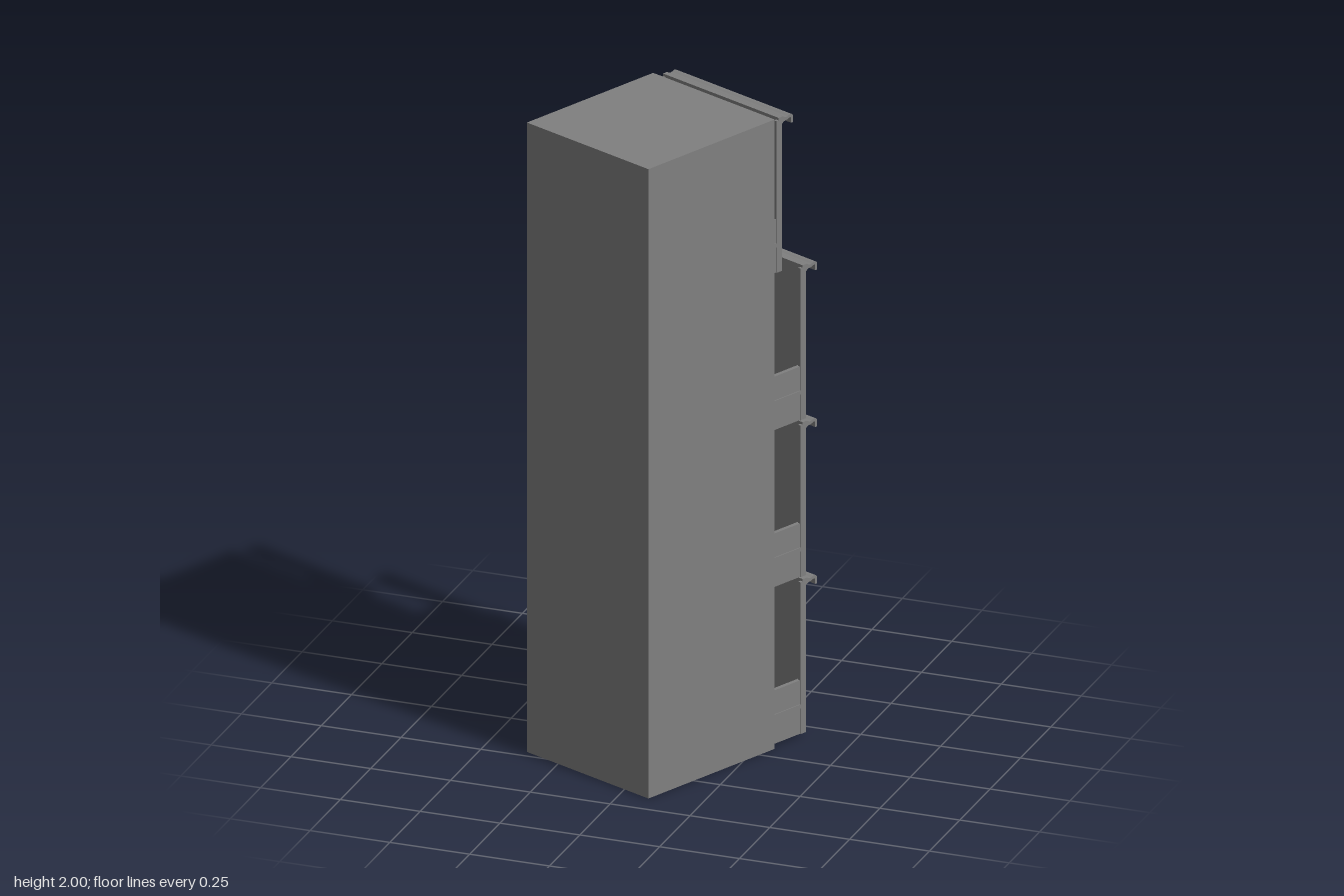
import * as THREE from 'three';

const steel = new THREE.MeshStandardMaterial({ color: 0x808080 });
const darkSteel = new THREE.MeshStandardMaterial({ color: 0x303030 });
const black = new THREE.MeshStandardMaterial({ color: 0x0c0c0c });

function box(parent, name, w, h, d, x, y, z, material = steel) {
  const mesh = new THREE.Mesh(new THREE.BoxGeometry(w, h, d), material);
  mesh.name = name;
  mesh.position.set(x, y, z);
  parent.add(mesh);
}

const W = 0.5, D = 0.526, H = 2, T = 0.008; // cabinet size and sheet thickness
const FRONT = D / 2;
const DW = 0.476, DH = 0.49, DD = 0.46;     // drawer width, height, depth

// Full-width pull: a rolled lip that dips, rises and hooks down at the front
function createPull() {
  const s = new THREE.Shape();
  s.moveTo(-0.013, -0.008);
  s.lineTo(-0.013, 0);
  s.lineTo(0, 0);
  s.bezierCurveTo(0.008, 0, 0.01, -0.006, 0.018, -0.006);
  s.bezierCurveTo(0.026, -0.006, 0.028, -0.002, 0.035, -0.002);
  s.quadraticCurveTo(0.047, -0.003, 0.047, -0.014);
  s.lineTo(0.047, -0.031);
  s.lineTo(0.039, -0.031);
  s.lineTo(0.039, -0.018);
  s.quadraticCurveTo(0.039, -0.012, 0.034, -0.012);
  s.bezierCurveTo(0.028, -0.012, 0.026, -0.016, 0.018, -0.016);
  s.quadraticCurveTo(0.008, -0.016, 0, -0.024);
  s.lineTo(0, -0.008);
  const geo = new THREE.ExtrudeGeometry(s, { depth: DW, bevelEnabled: false, curveSegments: 6 });
  geo.translate(0, 0, -DW / 2);
  geo.rotateY(-Math.PI / 2); // profile x becomes forward
  const mesh = new THREE.Mesh(geo, steel);
  mesh.name = 'drawerPull';
  return mesh;
}

// Rectangular label holder
function createLabelFrame() {
  const w = 0.165, h = 0.085, t = 0.008;
  const s = new THREE.Shape([[0, 0], [w, 0], [w, h], [0, h]].map(p => new THREE.Vector2(...p)));
  s.holes.push(new THREE.Path([[t, t], [t, h - t], [w - t, h - t], [w - t, t]].map(p => new THREE.Vector2(...p))));
  const mesh = new THREE.Mesh(new THREE.ExtrudeGeometry(s, { depth: 0.004, bevelEnabled: false }), black);
  mesh.name = 'labelFrame';
  return mesh;
}

// Drawer with its face at local z = 0 and its bottom at y = 0
function createDrawer() {
  const g = new THREE.Group();
  const sideH = 0.17, back = -0.013 - DD;
  box(g, 'drawerFront', DW, DH - 0.008, 0.013, 0, (DH - 0.008) / 2, -0.0065);
  for (const s of [-1, 1]) {
    box(g, 'frontFlange', 0.01, DH - 0.008, 0.009, s * (DW / 2 - 0.005), (DH - 0.008) / 2, -0.0175);
    box(g, 'drawerSide', 0.013, sideH, DD, s * (DW / 2 - 0.0095), sideH / 2, -0.013 - DD / 2);
    box(g, 'drawerRunner', 0.003, 0.012, DD, s * (DW / 2 - 0.0015), 0.088, -0.013 - DD / 2);
  }
  box(g, 'drawerBack', DW - 0.032, sideH, 0.01, 0, sideH / 2, back + 0.005);
  box(g, 'drawerFloor', DW - 0.032, 0.006, DD - 0.01, 0, 0.012, -0.013 - (DD - 0.01) / 2, darkSteel);

  const pull = createPull();
  pull.position.y = DH;
  const label = createLabelFrame();
  label.position.set(-DW / 2 + 0.043, DH - 0.155, 0);
  g.add(pull, label);
  return g;
}

export function createModel() {
  const cabinetWithDrawers = new THREE.Group();
  cabinetWithDrawers.name = 'filingCabinet';

  // Open-fronted steel case
  const cabinet = new THREE.Group();
  cabinet.name = 'cabinet';
  for (const s of [-1, 1]) box(cabinet, 'cabinetSide', T, H, D, s * (W - T) / 2, H / 2, 0);
  box(cabinet, 'cabinetBack', W - 2 * T, H, T, 0, H / 2, -(D - T) / 2);
  box(cabinet, 'cabinetTop', W - 2 * T, 0.004, D - T, 0, H - 0.002, T / 2);
  box(cabinet, 'cabinetBase', W - 2 * T, T, D - T, 0, T / 2, T / 2);
  for (const y of [0.5, 1, 1.5]) {
    box(cabinet, 'frontRail', W - 2 * T, 0.006, 0.02, 0, y + 0.003, FRONT - 0.01);
  }
  cabinetWithDrawers.add(cabinet);

  // Four drawers, the lower three pulled out further
  [0.139, 0.139, 0.139, 0.039].forEach((out, i) => {
    const drawer = createDrawer();
    drawer.name = 'drawer' + (i + 1);
    drawer.position.set(-0.003, 0.009 + 0.4985 * i, FRONT + out);
    cabinetWithDrawers.add(drawer);
  });

  // Turn the cabinet so that the drawers open towards the back
  cabinetWithDrawers.rotation.y = Math.PI - 0.416;
  cabinetWithDrawers.position.set(-0.032, 0, 0.081);
  const root = new THREE.Group();
  root.name = 'model';
  root.add(cabinetWithDrawers);
  return root;
}
